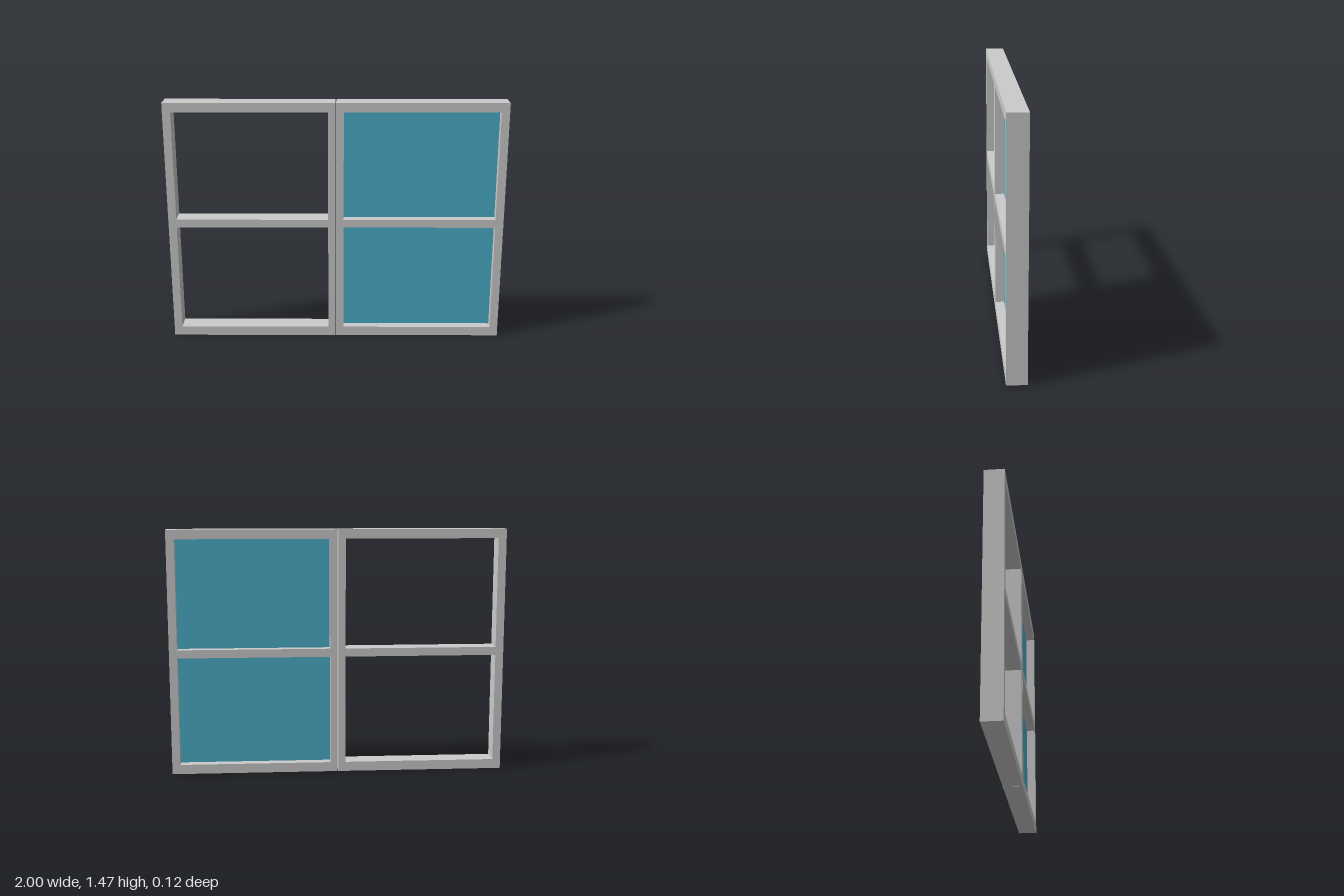
import * as THREE from 'three';

const H = 1.465, D = 0.115, GAP = 0.002;
const grey = new THREE.MeshStandardMaterial({ color: 0xcccccc, flatShading: true });
const glass = new THREE.MeshStandardMaterial({ color: 0x4bb0cb, flatShading: true });

// Opening limits, shared by the frames and the panes
const X0 = 0.046, X1 = 0.952;
const ROWS = [[0.057, 0.709], [0.758, 1.41]];

function rectangle(target, x0, y0, x1, y1) {
  target.moveTo(x0, y0);
  target.lineTo(x1, y0);
  target.lineTo(x1, y1);
  target.lineTo(x0, y1);
  target.closePath();
  return target;
}

// One sash: a frame with two openings, its outer edge at x = 1
function frameGeometry() {
  const shape = rectangle(new THREE.Shape(), GAP, 0, 1, H);
  for (const [y0, y1] of ROWS) shape.holes.push(rectangle(new THREE.Path(), X0, y0, X1, y1));
  const geometry = new THREE.ExtrudeGeometry(shape, { depth: D, bevelEnabled: false });
  geometry.translate(0, 0, -D / 2);
  return geometry;
}

export function createModel() {
  const model = new THREE.Group();
  model.name = 'window';

  // Two mirrored sashes side by side
  for (const [name, turn] of [['leftFrame', 0], ['rightFrame', Math.PI]]) {
    const frame = new THREE.Mesh(frameGeometry(), grey);
    frame.name = name;
    frame.rotation.y = turn;
    model.add(frame);
  }

  // Glass only in the left sash, set at mid depth
  ROWS.forEach(([y0, y1], i) => {
    const pane = new THREE.Mesh(new THREE.BoxGeometry(X1 - X0, y1 - y0, 0.008), glass);
    pane.name = i ? 'upperPane' : 'lowerPane';
    pane.position.set((X0 + X1) / 2, (y0 + y1) / 2, 0);
    model.add(pane);
  });

  return model;
}
